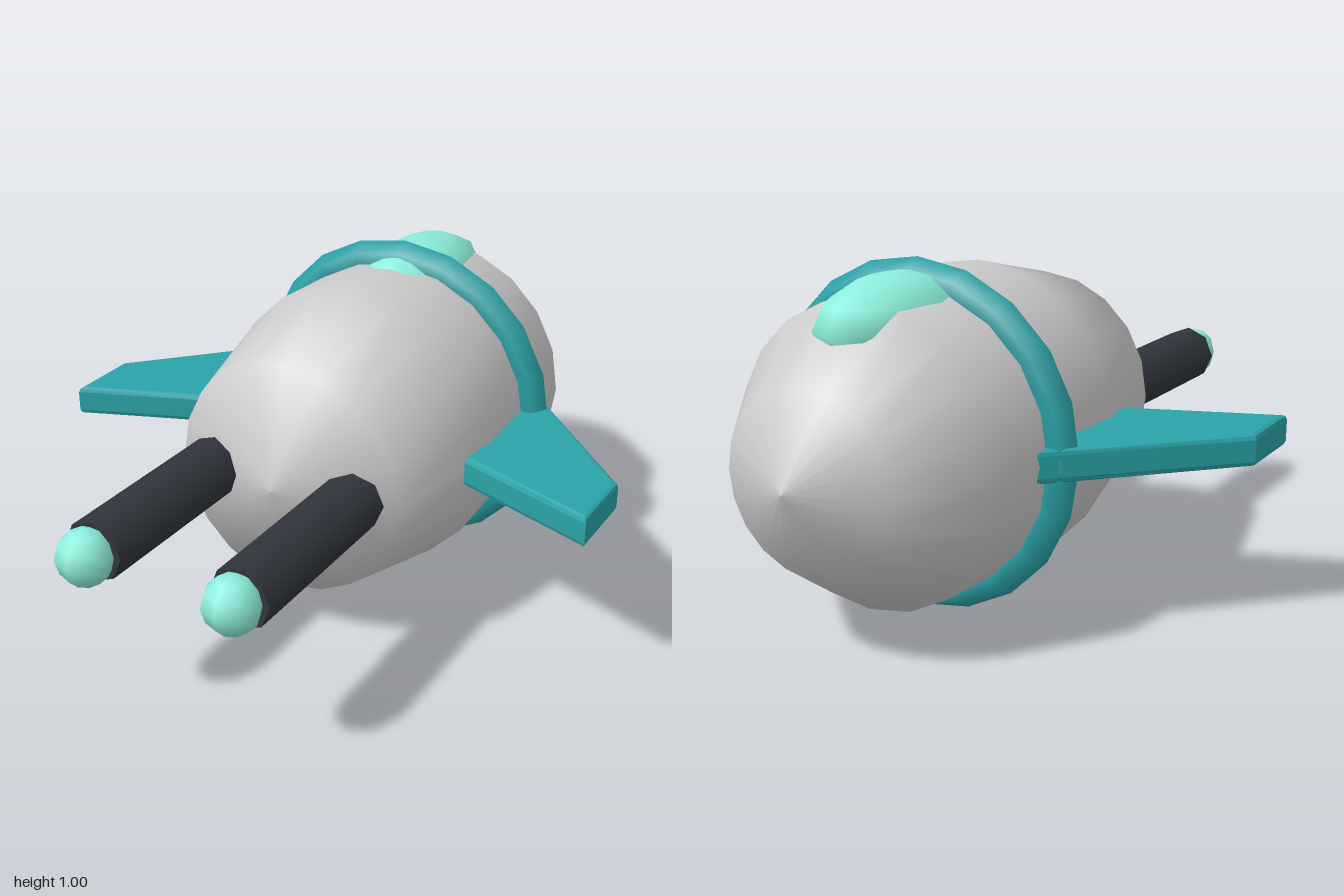
import * as THREE from 'three';

const material = (color) => new THREE.MeshStandardMaterial({ color });

export function createModel() {
  const model = new THREE.Group();
  const hull = material(0xcccccc);
  const teal = material(0x2aa3a8);
  const mint = material(0x8ceedb);
  const dark = material(0x32363d);

  const add = (name, geometry, mat, x, y, z) => {
    const mesh = new THREE.Mesh(geometry, mat);
    mesh.name = name;
    mesh.position.set(x, y, z);
    model.add(mesh);
    return mesh;
  };

  // Egg-shaped hull turned around the z axis, from tail to nose
  const profile = [[0, -1], [0.25, -0.9], [0.423, -0.65], [0.445, -0.1], [0.35, 0.3], [0, 0.39]]
    .map(([r, z]) => new THREE.Vector2(r, z));
  add('hull', new THREE.LatheGeometry(profile, 20).rotateX(Math.PI / 2), hull, 0, 0.5, 0);

  // Ring around the hull
  add('ring', new THREE.TorusGeometry(0.44, 0.058, 6, 20), teal, 0, 0.5, -0.4);

  // Canopy half sunk into the back of the hull
  add('canopy', new THREE.SphereGeometry(1, 12, 6).scale(0.16, 0.125, 0.3), mint, 0, 0.85, -0.5);

  // Wing outline in x and z, given with its bevel left off
  const bevel = 0.015;
  const outline = (side) => new THREE.Shape(
    [[0.43, -0.475], [0.83, -0.052], [0.83, 0.16], [0.43, 0.007]]
      .map(([x, z]) => new THREE.Vector2(side * x, z)));

  for (const side of [1, -1]) {
    const label = side > 0 ? 'left' : 'right';

    // Swept wing with softened edges
    const wing = new THREE.ExtrudeGeometry(outline(side), {
      depth: 0.06, bevelEnabled: true, bevelThickness: bevel, bevelSize: bevel, bevelSegments: 2,
    });
    wing.translate(0, 0, -0.03).rotateX(Math.PI / 2);
    add(label + 'Wing', wing, teal, 0, 0.5, 0);

    // Cannon barrel and its glowing tip
    const barrel = new THREE.CylinderGeometry(0.088, 0.088, 0.59, 8).rotateX(Math.PI / 2);
    add(label + 'Barrel', barrel, dark, side * 0.225, 0.5, 0.595);
    add(label + 'BarrelTip', new THREE.SphereGeometry(0.08, 8, 6), mint, side * 0.225, 0.5, 0.92);
  }

  return model;
}
